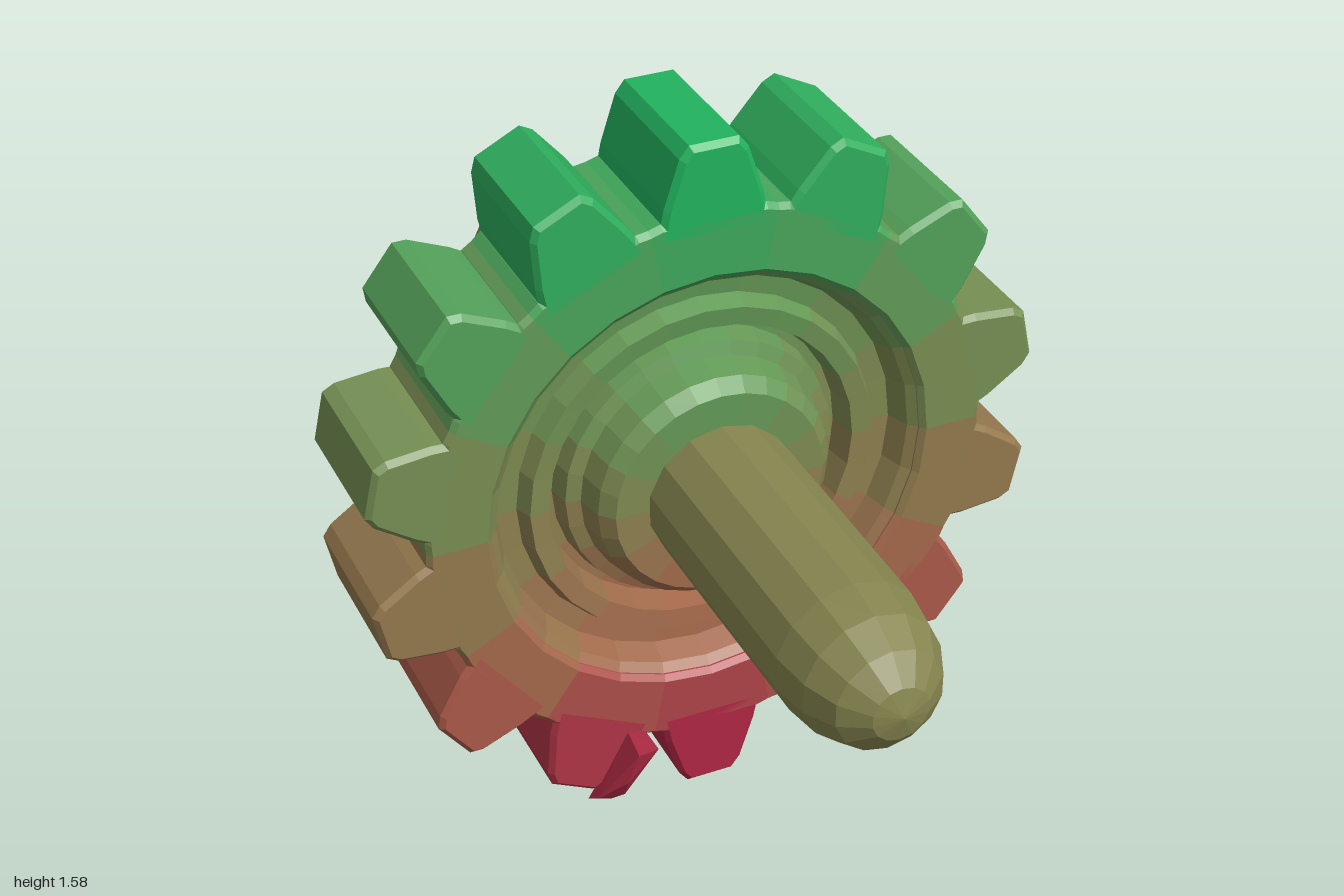
import * as THREE from 'three';
import { ConvexGeometry } from 'three/addons/geometries/ConvexGeometry.js';

const CY = 0.797;            // height of the axle
const TEETH = 14;
const STEP = (Math.PI * 2) / TEETH;
const HALF_DEPTH = 0.167;

// Colour bands by height: red at the foot, olive in the middle, green on top
const STOPS = [
  [0, 174, 26, 64], [0.2, 176, 60, 72], [0.4, 168, 100, 74],
  [0.8, 134, 134, 80], [1.2, 92, 158, 88], [1.6, 18, 184, 96],
];
function materialAt(y) {
  const i = Math.max(1, STOPS.findIndex((s) => s[0] >= Math.min(y, 1.6)));
  const a = STOPS[i - 1], b = STOPS[i];
  const t = THREE.MathUtils.clamp((y - a[0]) / (b[0] - a[0]), 0, 1);
  const [r, g, bl] = [1, 2, 3].map((k) => THREE.MathUtils.lerp(a[k], b[k], t) / 255);
  const color = new THREE.Color().setRGB(r, g, bl, THREE.SRGBColorSpace);
  return new THREE.MeshStandardMaterial({ color, flatShading: true });
}

function addPart(parent, name, geometry, y) {
  const mesh = new THREE.Mesh(geometry, materialAt(y));
  mesh.name = name;
  parent.add(mesh);
}

// Extrude an outline through the gear's depth, turn it to its place on the
// wheel and narrow the rim slightly from side to side
function gearSlice(points, angle) {
  const bevel = 0.012;
  const shape = new THREE.Shape(points.map(([x, y]) => new THREE.Vector2(x, y)));
  const geo = new THREE.ExtrudeGeometry(shape, {
    depth: 2 * (HALF_DEPTH - bevel), bevelThickness: bevel, bevelSize: bevel, bevelSegments: 1,
  });
  geo.translate(0, 0, bevel - HALF_DEPTH).rotateZ(-angle);
  const p = geo.attributes.position;
  for (let i = 0; i < p.count; i++) {
    const r = Math.hypot(p.getX(i), p.getY(i));
    const t = THREE.MathUtils.clamp((r - 0.5) / 0.29, 0, 1);
    p.setX(i, p.getX(i) * (1 - 0.045 * t));
  }
  geo.computeVertexNormals();
  return geo;
}

export function createModel() {
  const model = new THREE.Group();
  const wheel = new THREE.Group();
  wheel.name = 'gearWheel';
  wheel.position.y = CY;
  model.add(wheel);

  const h = STEP / 2;
  const polar = (r, a) => [r * Math.sin(a), r * Math.cos(a)];
  const webOutline = [
    polar(0.5, -h), polar(0.5, 0), polar(0.5, h),
    polar(0.63, h), [0.115, 0.622], [-0.115, 0.622], polar(0.63, -h),
  ];
  const toothOutline = [
    [-0.11, 0.6], [0.11, 0.6], [0.098, 0.66], [0.066, 0.76],
    [0.05, 0.78], [-0.05, 0.78], [-0.066, 0.76], [-0.098, 0.66],
  ];

  // Stepped dish between rim and hub: [radius, depth from the middle plane]
  const steps = [
    [0.15, 0.2], [0.235, 0.2], [0.262, 0.17], [0.275, 0.11], [0.305, 0.1], [0.315, 0.05],
    [0.335, 0.05], [0.348, 0.115], [0.39, 0.12], [0.405, 0.08], [0.45, 0.085], [0.47, 0.135], [0.505, 0.166],
  ];
  const profile = [
    ...steps.map(([r, z]) => new THREE.Vector2(r, -z)),
    ...[...steps].reverse().map(([r, z]) => new THREE.Vector2(r, z)),
  ];

  for (let i = 0; i < TEETH; i++) {
    const a = i * STEP, c = Math.cos(a);
    addPart(wheel, 'tooth', gearSlice(toothOutline, a), CY + 0.72 * c);
    addPart(wheel, 'rimSection', gearSlice(webOutline, a), CY + 0.56 * c);
    const dish = new THREE.LatheGeometry(profile, 2, Math.PI - a - h, STEP).rotateX(Math.PI / 2);
    addPart(wheel, 'dishSection', dish, CY + 0.35 * c);
  }

  // Axle with rounded ends
  const end = [[0, 1], [0.06, 0.985], [0.115, 0.94], [0.148, 0.87], [0.161, 0.78], [0.163, 0.4]];
  const axleProfile = [
    ...end.map(([r, z]) => new THREE.Vector2(r, -z)),
    ...[...end].reverse().map(([r, z]) => new THREE.Vector2(r, z)),
  ];
  const axle = new THREE.LatheGeometry(axleProfile, 14).rotateX(Math.PI / 2).translate(0, CY, 0);
  addPart(model, 'axle', axle, CY);

  // Small stray burrs on a lower tooth and on the back of the axle
  const hull = (pts) => new ConvexGeometry(pts.map((p) => new THREE.Vector3(...p)));
  addPart(model, 'toothBurr', hull([
    [-0.29, 0.03, 0.15], [-0.24, 0.02, 0.16], [-0.28, 0.06, 0.19], [-0.22, 0.05, 0.19],
    [-0.21, 0.2, 0.25], [-0.165, 0.205, 0.25], [-0.2, 0.2, 0.16], [-0.16, 0.19, 0.16], [-0.23, 0.12, 0.235],
  ]), 0.1);
  addPart(model, 'axleBurr', hull([
    [-0.165, 0.84, -0.59], [-0.15, 0.86, -0.55], [-0.08, 1.0, -0.53],
    [-0.01, 0.95, -0.51], [-0.01, 0.95, -0.54], [-0.1, 0.92, -0.57],
  ]), CY);
  addPart(model, 'axleRidge', hull([
    [0.01, 0.95, -0.2], [0.08, 0.93, -0.25], [0.03, 0.982, -0.35], [0.0, 0.95, -0.42], [0.07, 0.93, -0.38],
  ]), CY);

  return model;
}
